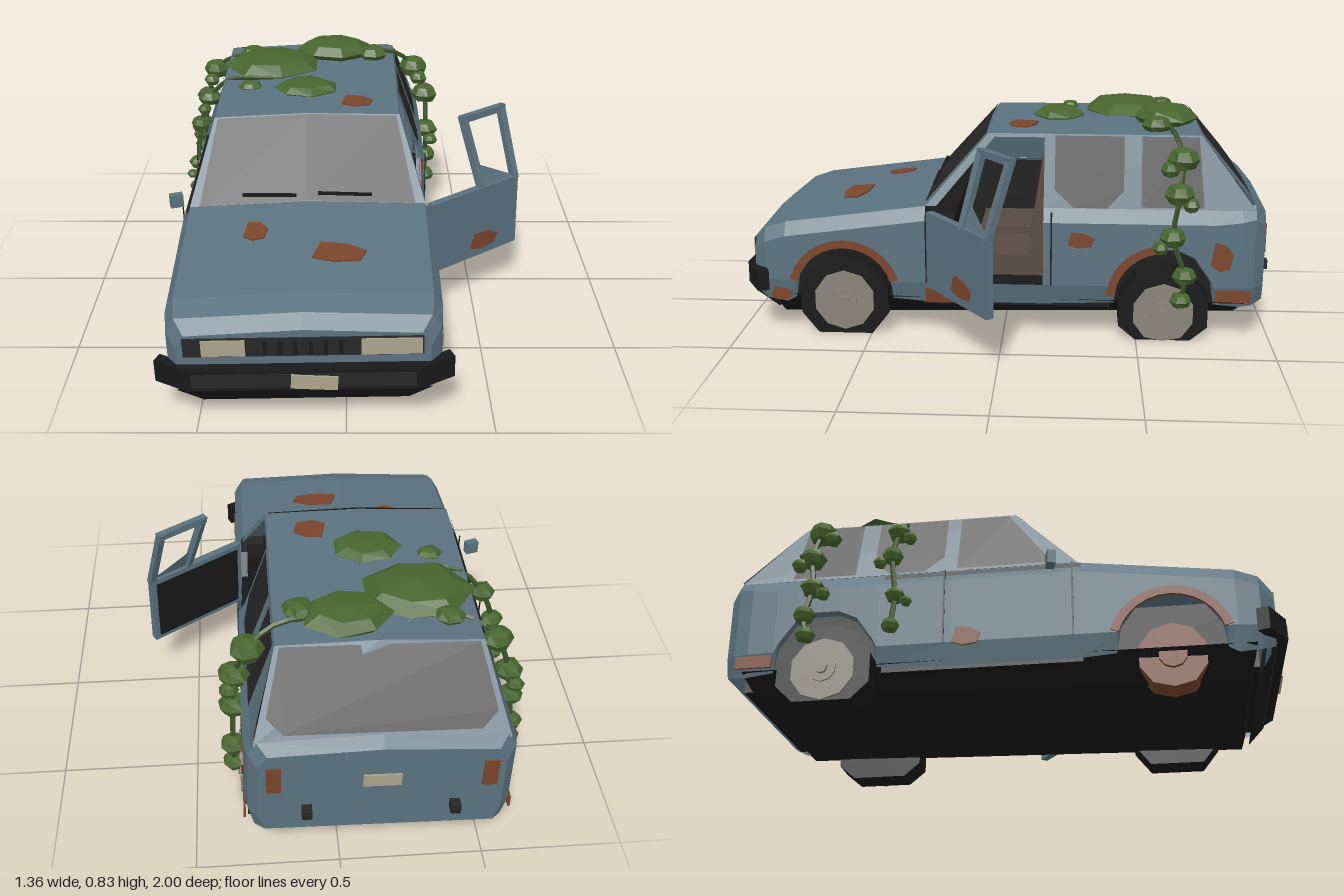
import * as THREE from 'three';

const mat = (name, color) => Object.assign(
  new THREE.MeshStandardMaterial({ color, flatShading: true, side: THREE.DoubleSide }), { name });
const V = (x, y, z) => new THREE.Vector3(x, y, z);

export function createModel() {
  const paint = mat('faded blue paint', 0x5b727f), dark = mat('dark glass', 0x262626),
    black = mat('black trim', 0x191919), rust = mat('rust', 0x7a452c),
    cream = mat('cream lamp', 0xaaa48c), metal = mat('hub metal', 0x8a857b),
    seatCloth = mat('seat cloth', 0x574a42), leaf = mat('leaf green', 0x48652f), stem = mat('stem green', 0x3a5228);
  const model = new THREE.Group();
  const car = new THREE.Group();          // sits rolled towards the side without a tyre
  car.name = 'carBody';
  car.position.x = -0.135;
  car.rotation.z = 0.02;
  model.add(car);

  const add = (parent, name, geo, m, p = [0, 0, 0], r = [0, 0, 0]) => {
    const o = new THREE.Mesh(geo, m);
    o.name = name; o.position.set(...p); o.rotation.set(...r);
    parent.add(o);
    return o;
  };
  const box = (parent, name, m, size, p, r) => add(parent, name, new THREE.BoxGeometry(...size), m, p, r);
  const bar = (parent, name, m, a, b, t) => {
    const o = new THREE.Mesh(new THREE.BoxGeometry(t, t, a.distanceTo(b) + t), m);
    o.name = name; o.position.copy(a).lerp(b, 0.5); o.lookAt(b);
    parent.add(o);
  };
  // Convex polygons, each a counter-clockwise loop of points
  const polys = (parent, name, m, loops) => {
    const pos = [];
    for (const l of loops) for (let k = 1; k < l.length - 1; k++)
      for (const q of [l[0], l[k], l[k + 1]]) pos.push(q.x, q.y, q.z);
    const g = new THREE.BufferGeometry();
    g.setAttribute('position', new THREE.Float32BufferAttribute(pos, 3));
    g.computeVertexNormals();
    return add(parent, name, g, m);
  };
  // Ragged rust flake lying in its local xy plane
  const flake = (parent, w, h, p, r) => {
    const s = new THREE.Shape([[-.5, -.3], [-.1, -.5], [.38, -.4], [.5, .1], [.15, .42], [-.35, .5]]
      .map(([x, y]) => new THREE.Vector2(x * w, y * h)));
    add(parent, 'rustPatch', new THREE.ExtrudeGeometry(s, { depth: 0.008, bevelEnabled: false }), rust, p, r);
  };

  // Lower body: stations [z, bottom y, half width, top y] from front to back
  const arch = [[.185, .13], [.17, .22], [.11, .305], [.045, .335], [-.045, .335], [-.11, .305], [-.17, .22], [-.185, .13]];
  const topY = z => z > 0.29 ? 0.43 - (z - 0.75) * 0.13 : 0.49;
  const stations = [[.945, .14, .42, .355], [.9, .12, .455, .395], [.82, .11, .465, .421],
    ...arch.map(([d, y]) => [.6 + d, y, .465, topY(.6 + d)]),
    [.29, .12, .465, .49], [-.15, .12, .465, .49],
    ...arch.map(([d, y]) => [-.6 + d, y, .465, .49]),
    [-.88, .12, .46, .5], [-.93, .125, .45, .51], [-.97, .14, .415, .48]];
  const rings = stations.map(([z, yb, hw, yt]) => {
    const half = [[hw - .02, yb], [hw, Math.max(yb + .01, .2)], [hw, yt - .05], [hw - .03, yt]];
    return [...half.map(([x, y]) => V(x, y, z)), V(0, yt + .018, z),
      ...half.reverse().map(([x, y]) => V(-x, y, z))];
  });
  const shell = [rings[0], [...rings.at(-1)].reverse()];
  for (let i = 0; i < rings.length - 1; i++) {
    const z = stations[i][0], cabin = z < 0.3 && z > -0.92, doorway = z === 0.29;
    for (let j = 0; j < 8; j++) {
      if ((cabin && (j === 3 || j === 4)) || (doorway && (j === 1 || j === 2))) continue;
      shell.push([rings[i][j], rings[i + 1][j], rings[i + 1][j + 1], rings[i][j + 1]]);
    }
  }
  polys(car, 'lowerBody', paint, shell);

  // Cabin: sloping sides, roof, windscreen and tailgate
  const side = (s, z, t, off = 0) => V(s * (.437 - .087 * t + off), .49 + .262 * t, z);
  const panel = (name, m, s, pts, off) => {
    const l = pts.map(([z, t]) => side(s, z, t, off));
    polys(car, name, m, [s > 0 ? l : l.reverse()]);
  };
  panel('rightCabinSide', paint, -1, [[.29, 0], [-.93, 0], [-.73, 1], [.06, 1]]);
  panel('leftCabinSide', paint, 1, [[-.15, 0], [-.93, 0], [-.73, 1], [-.15, 1]]);
  panel('leftFrontPillar', paint, 1, [[.29, 0], [.25, 0], [.025, 1], [.06, 1]]);
  panel('leftRoofRail', paint, 1, [[.06, .95], [-.15, .95], [-.15, 1], [.06, 1]]);
  panel('rightFrontWindow', dark, -1, [[.2, .03], [-.14, .03], [-.14, .97], [.035, .97]], .006);
  for (const s of [-1, 1]) {
    panel('rearDoorWindow', dark, s, [[-.26, .01], [-.385, .01], [-.445, .25], [-.445, .98], [-.19, .98], [-.19, .25]], .006);
    panel('quarterWindow', dark, s, [[-.51, .03], [-.74, .03], [-.72, .98], [-.51, .98]], .006);
    box(car, 'doorSeam', black, [.004, .28, .006], [s * .465, .34, -.18]);
    if (s < 0) box(car, 'doorSeam', black, [.004, .28, .006], [s * .465, .34, .27]);
  }
  const A = s => side(s, .06, 1), B = s => side(s, -.73, 1), mid = z => V(0, .764, z);
  polys(car, 'roof', paint, [[A(1), B(1), mid(-.73), mid(.06)], [mid(.06), mid(-.73), B(-1), A(-1)]]);
  polys(car, 'windscreenFrame', paint, [[side(-1, .29, 0), V(0, .508, .29), mid(.06), A(-1)],
    [V(0, .508, .29), side(1, .29, 0), A(1), mid(.06)]]);
  polys(car, 'windscreen', dark, [[V(-.4, .495, .296), V(0, .513, .296), V(0, .764, .069), V(-.338, .75, .069)],
    [V(0, .513, .296), V(.4, .495, .296), V(.338, .75, .069), V(0, .764, .069)]]);
  polys(car, 'tailgateFrame', paint, [[V(.43, .5, -.935), V(-.43, .5, -.935), B(-1), mid(-.73), B(1)]]);
  polys(car, 'rearWindow', dark, [[V(.33, .53, -.922), V(-.33, .53, -.922), V(-.385, .575, -.886),
    V(-.335, .752, -.738), V(.335, .752, -.738), V(.385, .575, -.886)]]);
  for (const x of [-.14, .14]) box(car, 'wiper', black, [.2, .01, .01], [x, .53, .28], [0, 0, x > 0 ? -.05 : -.02]);

  // Dark inner structure and tapered underbody
  box(car, 'engineBay', black, [.66, .25, .6], [0, .225, .59]);
  box(car, 'cargoBay', black, [.66, .34, .6], [0, .28, -.63]);
  box(car, 'cabinFloor', black, [.88, .08, .7], [0, .15, -.05]);
  box(car, 'rightDoorLining', black, [.01, .29, .7], [-.445, .335, -.05]);
  box(car, 'dashboard', black, [.84, .18, .1], [0, .37, .23]);
  const under = new THREE.BoxGeometry(.9, .08, 1.78), up = under.attributes.position;
  for (let i = 0; i < up.count; i++) {
    if (up.getY(i) < 0) up.setXYZ(i, up.getX(i) * .8, -.04 - up.getZ(i) * .02, up.getZ(i) * .97);
  }
  add(car, 'underbody', under, black, [0, .1, -.01]);
  polys(car, 'frontValance', black, [[V(-.35, .055, .88), V(.35, .055, .88), V(.43, .15, .95), V(-.43, .15, .95)]]);
  for (const x of [-.2, .2]) {
    box(car, 'seatCushion', seatCloth, [.3, .08, .27], [x, .24, -.01]);
    box(car, 'seatBack', seatCloth, [.3, .34, .07], [x, .4, -.14], [-.15, 0, 0]);
  }

  // Front end
  box(car, 'grille', dark, [.79, .068, .008], [0, .312, .948]);
  box(car, 'brokenHeadlight', cream, [.145, .06, .009], [-.262, .312, .952]);
  box(car, 'headlight', cream, [.2, .06, .009], [.29, .312, .952]);
  for (let i = 0; i < 6; i++) box(car, 'grilleSlat', black, [.012, .05, .008], [-.125 + i * .05, .312, .953]);
  const plan = new THREE.Shape([[-.485, .88], [-.37, .945], [.37, .945], [.485, .88], [.5, .92], [.385, .985], [-.385, .985], [-.5, .92]]
    .map(([x, z]) => new THREE.Vector2(x, -z)));
  add(car, 'frontBumper', new THREE.ExtrudeGeometry(plan, { depth: .08, bevelEnabled: false }), black, [0, .165, 0], [-Math.PI / 2, 0, 0]);
  box(car, 'bumperStrip', dark, [.74, .05, .006], [0, .205, .986]);
  box(car, 'frontPlate', cream, [.155, .052, .008], [.035, .2, .991], [0, 0, -.06]);

  // Rear end
  box(car, 'rearPlate', cream, [.13, .05, .008], [0, .36, -.973]);
  for (const s of [-1, 1]) {
    box(car, 'tailLamp', rust, [.05, .11, .008], [s * .365, .375, -.973]);
    box(car, 'bumperMount', dark, [.035, .035, .04], [s * .253, .235, -.988]);
    box(car, 'rustyRearCorner', rust, [.008, .045, .13], [s * .462, .168, -.855]);
  }

  // Rust on the panels and around the wheel arches
  const flat = -Math.PI / 2, out = Math.PI / 2;
  flake(car, .085, .11, [-.18, .477, .465], [flat + .13, -.042, 0]);
  flake(car, .19, .11, [.12, .46, .6], [flat + .13, .042, 0]);
  flake(car, .12, .11, [.19, .755, -.065], [flat, .035, 0]);
  flake(car, .1, .06, [.462, .375, -.29], [0, out, 0]);
  flake(car, .08, .11, [.462, .32, -.81], [0, out, 0]);
  flake(car, .08, .05, [.456, .145, .84], [0, out, 0]);
  flake(car, .1, .07, [-.462, .22, -.1], [0, -out, 0]);
  box(car, 'rustySill', rust, [.008, .06, .24], [.459, .15, .17], [0, 0, -.2]);
  const lip = (s, z, a, b) => {
    const sh = new THREE.Shape();
    sh.absarc(0, 0, .215, a, b, false);
    sh.absarc(0, 0, .185, b, a, true);
    add(car, 'rustyArch', new THREE.ExtrudeGeometry(sh, { depth: .012, bevelEnabled: false, curveSegments: 6 }),
      rust, [s * .464 - .006, .145, z], [0, out, 0]);
  };
  lip(1, .6, .3, 2.85);
  lip(1, -.6, 1.55, 3.05);
  lip(-1, .6, .3, 2.85);

  // Open front door, swung about its front edge
  const door = new THREE.Group();
  door.name = 'openDoor';
  door.position.set(.465, 0, .285);
  door.rotation.y = -.95;
  car.add(door);
  box(door, 'doorPanel', paint, [.03, .29, .43], [-.015, .33, -.215]);
  box(door, 'doorLining', black, [.008, .25, .39], [-.031, .33, -.215]);
  const f = [V(-.015, .475, -.25), V(-.105, .73, -.23), V(-.105, .73, -.42), V(-.015, .475, -.42)];
  for (let i = 0; i < 3; i++) bar(door, 'windowFrame', paint, f[i], f[i + 1], .026);
  polys(door, 'windowShard', paint, [[f[0], f[3], V(-.045, .56, -.25)]]);
  flake(door, .14, .075, [-.004, .25, -.26], [0, out, 0]);
  box(car, 'doorMirror', paint, [.05, .05, .03], [-.5, .475, .2], [0, .3, 0]);

  // Wheels: sagging tyres flattened on the ground, one bare rusty rim
  const drum = (parent, name, r, w, m, x, y, z) => {
    const g = new THREE.CylinderGeometry(r, r, w, 10).rotateZ(out).rotateX(.314);
    const p = g.attributes.position;
    for (let i = 0; i < p.count; i++) p.setY(i, Math.max(p.getY(i), -y));
    add(parent, name, g, m, [x, y, z]);
  };
  for (const [s, x, y, z] of [[1, .265, .134, .6], [1, .27, .107, -.6], [-1, -.545, .115, -.6]]) {
    const w = new THREE.Group();
    w.name = 'wheel';
    model.add(w);
    drum(w, 'tyre', .174, .115, black, x, y, z);
    drum(w, 'hub', .116, .02, metal, x + s * .056, y, z);
    drum(w, 'hubRing', .05, .01, metal, x + s * .068, y, z);
    drum(w, 'hubCap', .022, .03, metal, x + s * .07, y, z);
  }
  drum(model, 'bareRim', .12, .1, rust, -.51, .115, .6);
  drum(model, 'bareRimHub', .05, .13, rust, -.51, .115, .6);

  // Ivy: faceted leaf clumps on the roof and hanging strands
  let seed = 7;
  const rnd = () => (seed = (seed * 16807) % 2147483647) / 2147483647;
  const clump = (x, y, z, rx, ry, rz) => {
    const g = new THREE.SphereGeometry(1, 7, 4), p = g.attributes.position, turn = rnd() * 6;
    for (let i = 0; i < p.count; i++) {
      const k = 1 + .14 * Math.sin(p.getX(i) * 5 + turn) * Math.cos(p.getZ(i) * 4 + turn);
      p.setXYZ(i, p.getX(i) * k * rx, p.getY(i) * ry, p.getZ(i) * k * rz);
    }
    add(model, 'ivyClump', g, leaf, [x, y, z]);
  };
  [[-.3, .765, -.47, .19, .05, .18], [-.05, .785, -.61, .155, .045, .13], [-.16, .768, -.2, .13, .03, .105],
    [.11, .78, -.57, .06, .035, .06], [-.4, .765, -.62, .055, .03, .05], [-.385, .755, -.24, .045, .025, .04]]
    .forEach(c => clump(...c));
  const strand = (pts, r) => {
    const curve = new THREE.CatmullRomCurve3(pts.map(p => V(...p)));
    add(model, 'ivyStem', new THREE.TubeGeometry(curve, 16, .01, 5), stem);
    pts.slice(2).forEach(([x, y, z], i) => {
      const k = r * (1 - .08 * i);
      clump(x, y, z, k, k * .75, k);
      if (i < 3) clump(x + .02 * Math.sign(x), y - .035, z + (i % 2 ? -.04 : .045), k * .6, k * .5, k * .6);
    });
  };
  strand([[.05, .78, -.6], [.2, .765, -.63], [.29, .69, -.655], [.34, .57, -.645], [.35, .41, -.625], [.355, .265, -.67], [.355, .17, -.66]], .062);
  strand([[-.3, .76, -.55], [-.48, .745, -.62], [-.565, .68, -.65], [-.61, .55, -.665], [-.63, .42, -.65], [-.64, .31, -.67], [-.645, .23, -.66]], .055);
  strand([[-.3, .76, -.32], [-.48, .745, -.34], [-.565, .66, -.36], [-.61, .54, -.37], [-.63, .37, -.35], [-.64, .25, -.36]], .045);
  return model;
}
